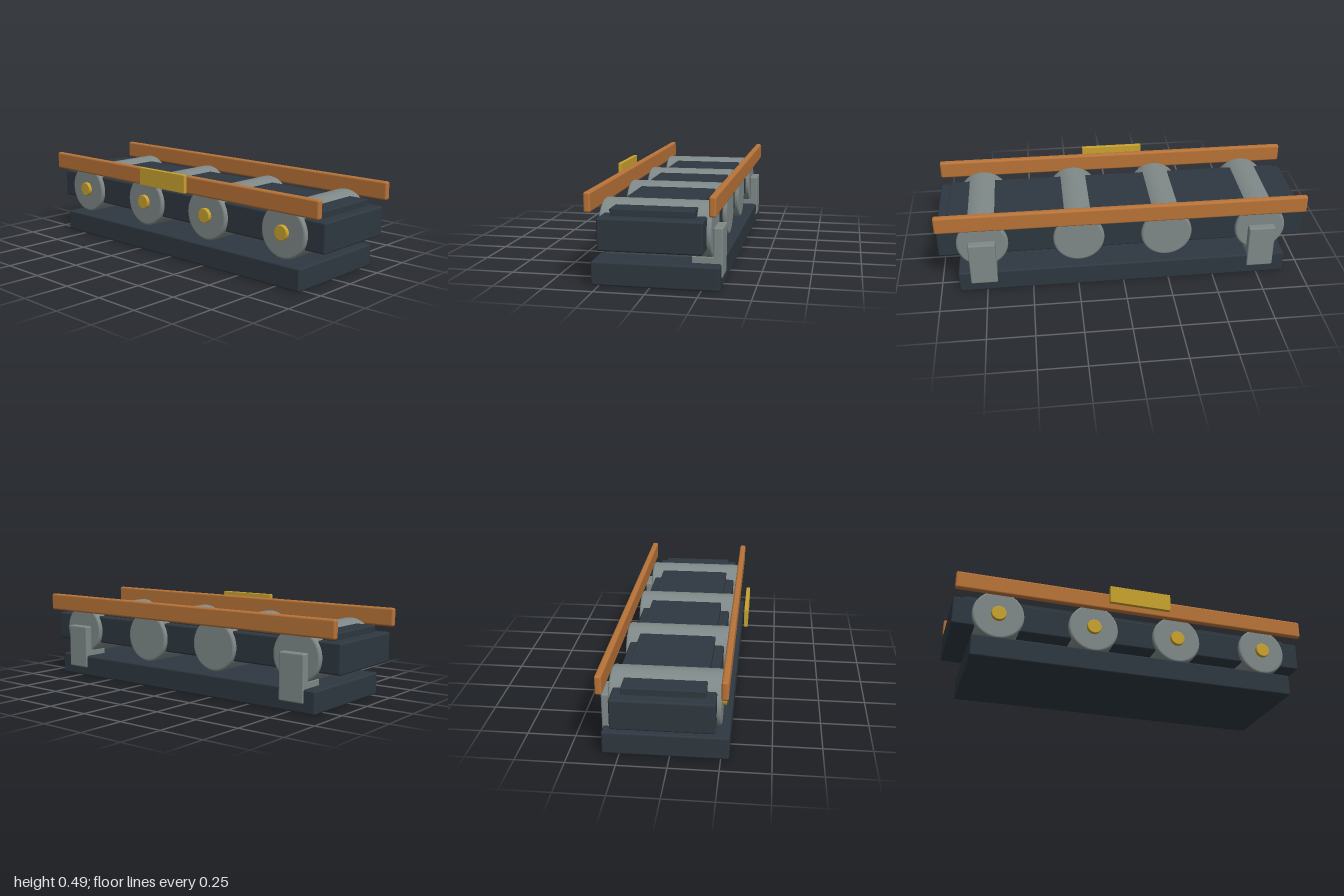
import * as THREE from 'three';
import { RoundedBoxGeometry } from 'three/addons/geometries/RoundedBoxGeometry.js';

function material(name, color) {
  const m = new THREE.MeshStandardMaterial({ color });
  m.name = name;
  return m;
}

export function createModel() {
  const group = new THREE.Group();
  const slate = material('dark slate', 0x2e3840);
  const steel = material('grey steel', 0x7f8888);
  const copper = material('copper', 0xb87338);
  const brass = material('brass', 0xc9a22e);

  // Rounded box given by its extents along each axis
  function box(name, mat, [x0, x1], [y0, y1], [z0, z1], r) {
    const mesh = new THREE.Mesh(new RoundedBoxGeometry(x1 - x0, y1 - y0, z1 - z0, 3, r), mat);
    mesh.position.set((x0 + x1) / 2, (y0 + y1) / 2, (z0 + z1) / 2);
    mesh.name = name;
    group.add(mesh);
  }

  // Cylinder along z with rounded rims
  function drum(name, mat, x, y, z0, z1, radius, bevel, segments) {
    const half = (z1 - z0) / 2;
    const p = [new THREE.Vector2(0, -half)];
    for (const side of [-1, 1]) {
      for (let i = 0; i <= 4; i++) {
        const a = (side < 0 ? i - 4 : i) * Math.PI / 8;
        p.push(new THREE.Vector2(
          radius - bevel + bevel * Math.cos(a),
          side * (half - bevel) + bevel * Math.sin(a)));
      }
    }
    p.push(new THREE.Vector2(0, half));
    // Doubled rim points keep the end faces flat
    p.splice(1, 0, p[1].clone());
    p.splice(p.length - 1, 0, p[p.length - 2].clone());
    const mesh = new THREE.Mesh(new THREE.LatheGeometry(p, segments), mat);
    mesh.rotation.x = Math.PI / 2;
    mesh.position.set(x, y, (z0 + z1) / 2);
    mesh.name = name;
    group.add(mesh);
  }

  // Base and main body
  box('base', slate, [-0.9, 0.9], [0, 0.12], [-0.338, 0.291], 0.01);
  box('body', slate, [-1, 1], [0.197, 0.355], [-0.275, 0.228], 0.01);
  box('topDeck', slate, [-0.94, 0.94], [0.3, 0.39], [-0.226, 0.18], 0.005);

  // Four drums with brass hubs on the front
  for (const x of [-0.76, -0.24, 0.24, 0.76]) {
    drum('drum', steel, x, 0.271, -0.297, 0.25, 0.139, 0.012, 64);
    drum('hub', brass, x, 0.271, 0.235, 0.27, 0.04, 0.004, 32);
  }

  // L-shaped brackets at the back
  for (const x of [-0.763, 0.763]) {
    const span = [x - 0.073, x + 0.073];
    box('bracketPlate', steel, span, [0.048, 0.295], [-0.343, -0.297], 0.008);
    box('bracketFoot', steel, span, [0.1, 0.152], [-0.32, -0.194], 0.004);
  }

  // Side rails and front plate
  box('frontRail', copper, [-1, 1], [0.377, 0.475], [0.254, 0.288], 0.011);
  box('backRail', copper, [-1, 1], [0.377, 0.475], [-0.335, -0.301], 0.011);
  box('frontPlate', brass, [-0.175, 0.172], [0.392, 0.491], [0.324, 0.345], 0.003);

  return group;
}
